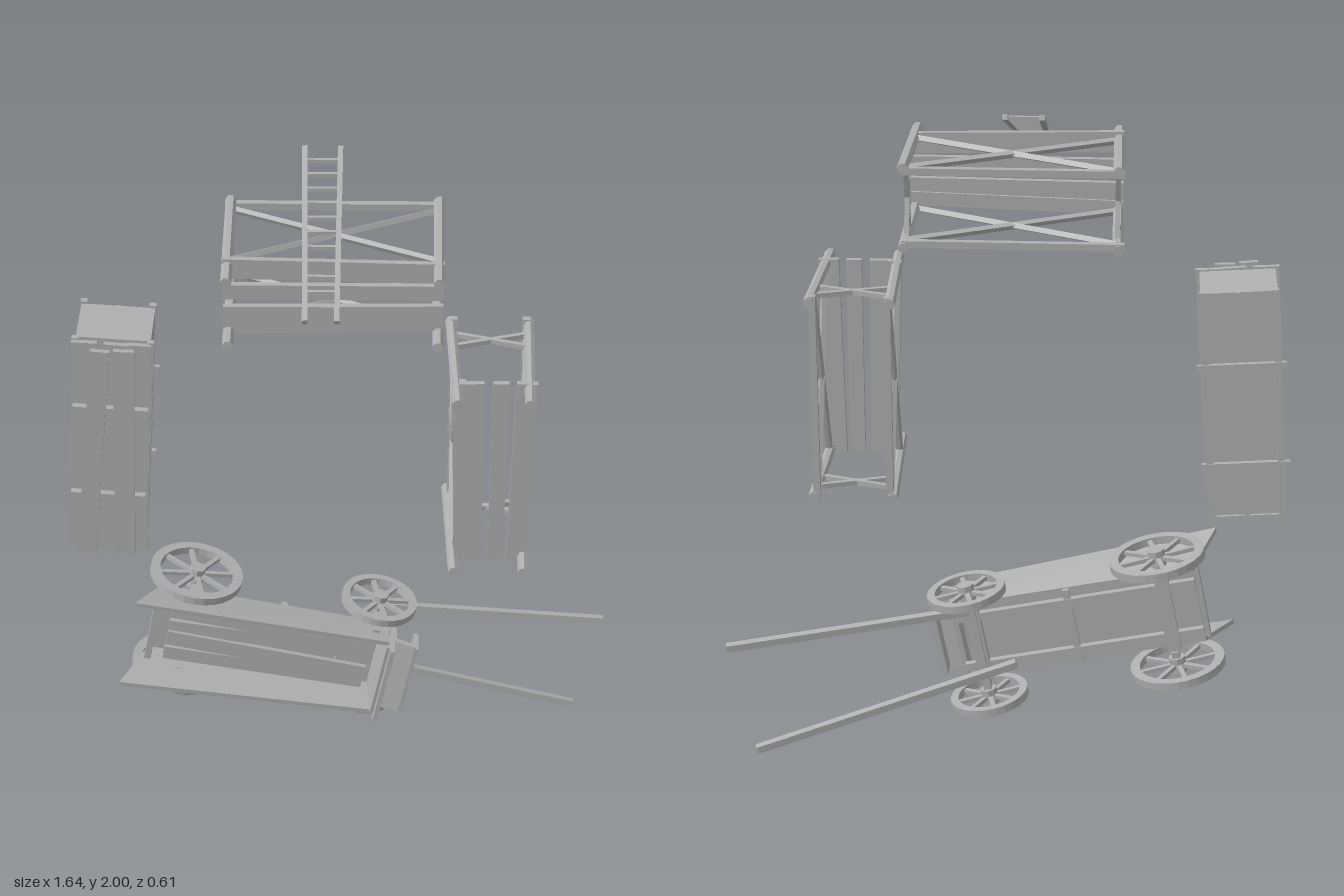
import * as THREE from 'three';

const wood = new THREE.MeshStandardMaterial({ color: 0xb0b0b0, flatShading: true });
wood.name = 'grey wood';
const V = (x, y, z) => new THREE.Vector3(x, y, z);

function add(parent, name, geo) {
  const m = new THREE.Mesh(geo, wood);
  m.name = name;
  parent.add(m);
  return m;
}
function group(parent, name) {
  const g = new THREE.Group();
  g.name = name;
  parent.add(g);
  return g;
}
function box(parent, name, size, pos, rot = [0, 0, 0]) {
  const m = add(parent, name, new THREE.BoxGeometry(...size));
  m.position.set(...pos);
  m.rotation.set(...rot);
  return m;
}
// Square or round timber from a to b
function beam(parent, name, a, b, t, sides = 4) {
  const dir = b.clone().sub(a);
  const geo = sides === 4
    ? new THREE.BoxGeometry(t, dir.length(), t)
    : new THREE.CylinderGeometry(t / 2, t / 2, dir.length(), sides);
  const m = add(parent, name, geo);
  m.position.copy(a).add(b).multiplyScalar(0.5);
  m.quaternion.setFromUnitVectors(V(0, 1, 0), dir.normalize());
  return m;
}

// Trestle: long axis x, short axis y, posts along z
function trestle(parent, name, x, y, turn) {
  const g = group(parent, name);
  const L = 0.293, W = 0.105;
  for (const sy of [-1, 1]) {
    for (const sx of [-1, 1]) {
      beam(g, 'post', V(sx * (L + 0.003), sy * (W + 0.009), -0.28), V(sx * (L - 0.003), sy * (W - 0.004), 0.165), 0.032, 7);
      beam(g, 'sideBrace', V(-L, sy * W, -0.24 * sx - 0.095 + 0.095 * sx), V(L, sy * W, sx > 0 ? 0.05 : -0.24), 0.015)
        .name = 'sideBrace';
    }
    beam(g, 'lowRail', V(-L - 0.02, sy * W, -0.265), V(L + 0.01, sy * W, -0.265), 0.02);
  }
  // Shallow cross braces on both ends
  for (const sx of [-1, 1]) for (const s of [-1, 1]) {
    beam(g, 'endBrace', V(sx * L, -W, -0.173 - s * 0.033), V(sx * L, W, -0.173 + s * 0.033), 0.014);
  }
  // Deck planks
  for (const [py, w, r] of [[0.09, 0.06, -0.02], [0.022, 0.045, 0], [-0.062, 0.08, 0.01], [-0.088, 0.04, 0.03]]) {
    box(g, 'deckPlank', [0.61, w, 0.018], [0, py, py === -0.088 ? 0.064 : 0.072], [0, 0, r]);
  }
  g.position.set(x, y, 0);
  g.rotation.z = turn;
}

function ladder(parent) {
  const g = group(parent, 'ladder');
  const l0 = V(-0.09, 1.78, 0.3), l1 = V(-0.103, 1.992, -0.3);
  const r0 = V(-0.004, 1.78, 0.3), r1 = V(-0.002, 1.992, -0.3);
  beam(g, 'ladderRail', l0, l1, 0.015);
  beam(g, 'ladderRail', r0, r1, 0.015);
  for (let i = 0; i < 11; i++) {
    const t = 0.08 + i * 0.084;
    beam(g, 'rung', l0.clone().lerp(l1, t), r0.clone().lerp(r1, t), 0.011);
  }
}

// Long crate with runners, battens and loose lid planks
function crate(parent) {
  const g = group(parent, 'crate');
  const w = 0.215, l = 0.69, t = 0.012, zc = -0.172, h = 0.185;
  for (const s of [-1, 1]) {
    box(g, 'crateSide', [t, l, h], [s * (w - t) / 2, 0, zc]);
    box(g, 'crateEnd', [w - 2 * t, t, h], [0, s * (l - t) / 2, zc]);
    box(g, 'runner', [0.02, 0.705, 0.02], [s * 0.1, 0, -0.272]);
    box(g, 'lidRail', [0.02, 0.7, 0.018], [s * 0.108, 0, -0.07]);
  }
  box(g, 'crateFloor', [w - 2 * t, l - 2 * t, t], [0, 0, -0.25]);
  box(g, 'centreRunner', [0.014, 0.69, 0.012], [0, 0, -0.262]);
  for (const y of [-0.17, 0.13]) box(g, 'batten', [0.25, 0.018, 0.014], [0, y, -0.278]);
  for (const [x, pw, z, r] of [[-0.078, 0.075, -0.056, 0.01], [0.005, 0.075, -0.054, -0.02], [0.08, 0.07, -0.058, 0.015],
    [-0.045, 0.055, -0.012, -0.035], [0.045, 0.06, -0.02, 0.03]]) {
    box(g, 'lidPlank', [pw, 0.71, 0.016], [x, -0.01, z], [0, 0, r]);
  }
  for (const y of [-0.17, 0.13]) box(g, 'lidBatten', [0.22, 0.02, 0.02], [0, y, -0.037]);
  g.position.set(-0.672, 1.145, 0);
  g.rotation.z = -0.068;
}

// Spoked wheel with its axle along y
function wheel(parent, r, x, y) {
  const g = group(parent, 'wheel');
  const shape = new THREE.Shape().absarc(0, 0, r, 0, Math.PI * 2);
  shape.holes.push(new THREE.Path().absarc(0, 0, r * 0.8, 0, Math.PI * 2, true));
  const geo = new THREE.ExtrudeGeometry(shape, { depth: 0.024, bevelEnabled: false, curveSegments: 14 });
  geo.translate(0, 0, -0.012).rotateX(Math.PI / 2);
  add(g, 'rim', geo);
  add(g, 'hub', new THREE.CylinderGeometry(0.025, 0.025, 0.05, 8));
  for (let i = 0; i < 4; i++) {
    box(g, 'spokes', [r * 1.7, 0.012, 0.014], [0, 0, 0], [0, i * Math.PI / 4 + 0.2, 0]);
  }
  g.position.set(x, y, r - 0.282);
}

function cart(parent) {
  const g = group(parent, 'cart');
  for (const s of [-1, 1]) {
    wheel(g, 0.142, -0.285, s * 0.178);
    wheel(g, 0.117, 0.285, s * 0.174);
    // Flared side board, taller towards the tail
    const geo = new THREE.BoxGeometry(1, 0.014, 1);
    const p = geo.attributes.position;
    for (let i = 0; i < p.count; i++) {
      const back = p.getX(i) < 0, top = p.getZ(i) > 0;
      p.setXYZ(i, back ? (top ? -0.46 : -0.38) : 0.325,
        p.getY(i) + s * (top ? (back ? 0.155 : 0.135) : 0.115),
        top ? (back ? 0.037 : -0.005) : -0.13);
    }
    geo.computeVertexNormals();
    add(g, 'sideBoard', geo);
    box(g, 'underBeam', [0.72, 0.022, 0.02], [-0.02, s * 0.08, -0.14]);
    for (const x of [-0.285, 0.285]) box(g, 'upright', [0.022, 0.02, 0.12], [x, s * 0.135, -0.11]);
  }
  // Axles and cross bearers
  for (const [x, z] of [[-0.285, -0.14], [0.285, -0.165]]) {
    box(g, 'axle', [0.024, 0.38, 0.024], [x, 0, z]);
    box(g, 'bolster', [0.04, 0.25, 0.03], [x, 0, -0.148]);
  }
  box(g, 'bearer', [0.02, 0.24, 0.016], [0, 0, -0.14]);
  // Floor and loose planks on it
  box(g, 'floor', [0.7, 0.23, 0.014], [-0.03, 0, -0.123]);
  for (const [y, w, z, r] of [[-0.078, 0.045, -0.07, 0.02], [-0.025, 0.05, -0.06, -0.02],
    [0.028, 0.045, -0.07, 0.03], [0.08, 0.045, -0.058, -0.015]]) {
    box(g, 'cargoPlank', [0.62, w, 0.014], [-0.03, y, z], [0, 0, r]);
  }
  for (const x of [-0.26, 0.2]) box(g, 'cargoBatten', [0.03, 0.21, 0.03], [x, 0, -0.093]);
  // Tail bar, headboard and driver's bench
  box(g, 'tailBar', [0.02, 0.24, 0.05], [-0.385, 0, -0.09]);
  box(g, 'headboard', [0.016, 0.26, 0.14], [0.318, 0, -0.06], [0, 0.12, 0]);
  box(g, 'benchFront', [0.016, 0.23, 0.09], [0.345, 0, -0.075]);
  box(g, 'benchSeat', [0.07, 0.26, 0.016], [0.375, 0, -0.03], [0, -0.25, 0]);
  box(g, 'benchBack', [0.014, 0.28, 0.08], [0.335, 0, 0.0]);
  box(g, 'footboard', [0.014, 0.24, 0.08], [0.412, 0, -0.06]);
  g.position.set(-0.195, 0.385, 0);
  g.rotation.z = -0.197;
}

export function createModel() {
  const model = new THREE.Group();
  model.name = 'timberYardSet';
  trestle(model, 'wideTrestle', -0.017, 1.72, 0);
  trestle(model, 'tallTrestle', 0.434, 1.143, -Math.PI / 2);
  ladder(model);
  crate(model);
  cart(model);
  // Draw shafts of the cart
  beam(model, 'shaft', V(0.11, 0.455, -0.2), V(0.82, 0.35, -0.272), 0.022);
  beam(model, 'shaft', V(-0.03, 0.28, -0.19), V(0.74, 0.014, -0.272), 0.022);
  return model;
}
